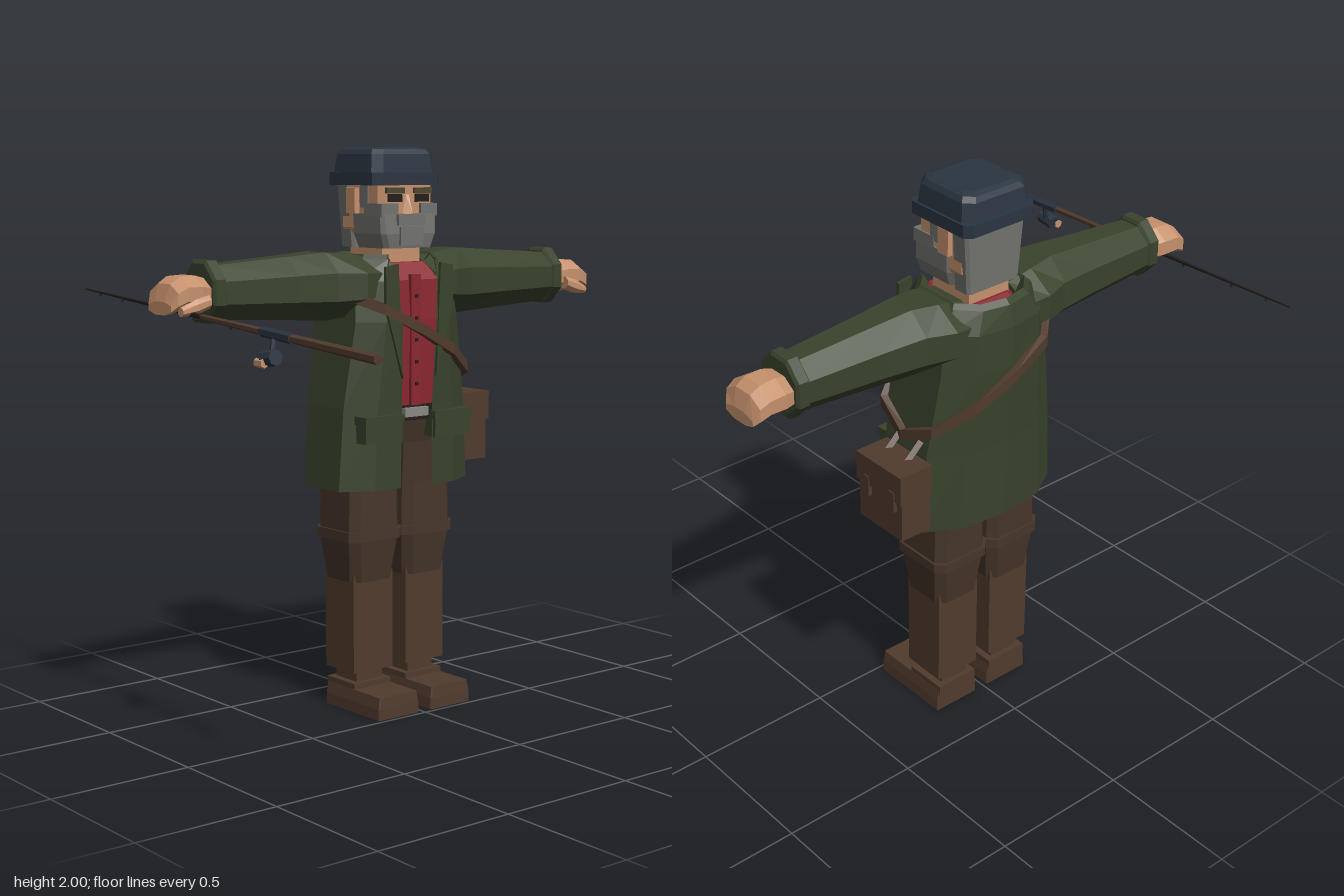
import * as THREE from 'three';

const paint = (name, color, side = THREE.FrontSide) =>
  Object.assign(new THREE.MeshStandardMaterial({ color, side }), { name });
const V = (x, y, z) => new THREE.Vector3(x, y, z);
const CZ = -0.245; // depth of the body axis

export function createModel() {
  const M = {
    coat: paint('coat green', 0x39432c, THREE.DoubleSide),
    shirt: paint('shirt red', 0x8a2630),
    trousers: paint('trouser brown', 0x47362a),
    leather: paint('leather brown', 0x513b2d),
    hat: paint('hat navy', 0x2a3541),
    skin: paint('skin', 0xc6916d),
    hair: paint('hair grey', 0x72736f),
    metal: paint('buckle grey', 0x8b8983),
    dark: paint('dark', 0x241d19),
    brow: paint('brow olive', 0x4d4630),
  };
  const model = new THREE.Group();
  model.name = 'fisherman';
  const body = new THREE.Group();
  body.name = 'body';
  body.position.x = 0.01;
  model.add(body);

  const add = (name, geo, mat, parent = body) => {
    const g = geo.index ? geo.toNonIndexed() : geo;
    g.computeVertexNormals(); // flat facets
    const mesh = new THREE.Mesh(g, mat);
    mesh.name = name;
    parent.add(mesh);
    return mesh;
  };
  const box = (name, mat, x0, x1, y0, y1, z0, z1) =>
    add(name, new THREE.BoxGeometry(x1 - x0, y1 - y0, z1 - z0)
      .translate((x0 + x1) / 2, (y0 + y1) / 2, (z0 + z1) / 2), mat);

  // Skins equal-length rings; closed rings get end caps and are turned outwards
  const loft = (name, mat, rings, closed = true) => {
    const tris = [], n = rings[0].length;
    for (let i = 0; i < rings.length - 1; i++)
      for (let j = 0; j < (closed ? n : n - 1); j++) {
        const k = (j + 1) % n, [r, s] = [rings[i], rings[i + 1]];
        tris.push([r[j], r[k], s[k]], [r[j], s[k], s[j]]);
      }
    if (closed) {
      const a = rings[0], b = rings[rings.length - 1];
      for (let j = 1; j < n - 1; j++)
        tris.push([a[0], a[j + 1], a[j]], [b[0], b[j], b[j + 1]]);
    }
    const c = rings[0][0];
    const vol = tris.reduce((t, [p, q, r]) =>
      t + p.clone().sub(c).dot(q.clone().sub(c).cross(r.clone().sub(c))), 0);
    if (vol < 0) tris.forEach((t) => t.reverse());
    return add(name, new THREE.BufferGeometry().setFromPoints(tris.flat()), mat);
  };
  // Chamfered rectangle at height y
  const rect = (y, cx, hx, zf, zb, c = 0.03) => [
    [hx, zf - c], [hx - c, zf], [c - hx, zf], [-hx, zf - c],
    [-hx, zb + c], [c - hx, zb], [hx - c, zb], [hx, zb + c]].map(([x, z]) => V(cx + x, y, z));
  // Octagon facing sideways
  const oct = (x, cy, ry, rz, cz = CZ) => Array.from({ length: 8 }, (_, i) => {
    const a = (i + 0.5) * Math.PI / 4;
    return V(x, cy + Math.sin(a) * ry * 1.08, cz + Math.cos(a) * rz * 1.08);
  });
  const rodPart = (name, mat, a, b, ra, rb, sides = 6) => {
    const g = new THREE.CylinderGeometry(rb, ra, a.distanceTo(b), sides);
    g.applyQuaternion(new THREE.Quaternion().setFromUnitVectors(V(0, 1, 0), b.clone().sub(a).normalize()));
    return add(name, g.translate(...a.clone().lerp(b, 0.5).toArray()), mat);
  };

  // Open coat: height, half width, front, back, half opening
  const coatRings = [
    [0.81, 0.29, -0.065, -0.425, 0.07], [1.1, 0.272, -0.06, -0.43, 0.068],
    [1.4, 0.228, -0.045, -0.45, 0.075], [1.54, 0.215, -0.06, -0.45, 0.092],
    [1.615, 0.165, -0.085, -0.435, 0.1],
  ].map(([y, w, f, b, o]) => {
    const half = [[o, f], [0.62 * w, f - 0.007], [w, f - 0.07], [w, b + 0.09], [0.6 * w, b + 0.02]];
    return [...half, [0, b], ...half.map(([x, z]) => [-x, z]).reverse()].map(([x, z]) => V(x, y, z));
  });
  loft('coat', M.coat, coatRings, false);
  // Collar standing around the neck opening
  loft('collar', M.coat, [[1.605, 1], [1.63, 0.88], [1.59, 0.72]].map(([y, s]) =>
    coatRings[4].map((p) => V(p.x * (s + 0.04), y, CZ + (p.z - CZ) * s))), false);

  for (const s of [-1, 1]) {
    const side = s > 0 ? 'left' : 'right';
    const sx = (name, mat, x0, x1, ...r) =>
      box(side + name, mat, Math.min(s * x0, s * x1), Math.max(s * x0, s * x1), ...r);

    // Lapel and pocket
    const lapel = new THREE.Shape([[0.095, 1.6], [0.15, 1.59], [0.15, 1.45], [0.075, 1.2]]
      .map(([x, y]) => new THREE.Vector2(s * x, y)));
    add(side + 'Lapel', new THREE.ExtrudeGeometry(lapel, { depth: 0.012, bevelEnabled: false })
      .translate(0, 0, -0.055), M.coat);
    sx('Pocket', M.coat, 0.075, 0.235, 0.98, 1.07, -0.12, -0.05);
    sx('PocketFlap', M.coat, 0.07, 0.24, 1.045, 1.075, -0.12, -0.045);

    // Sleeve, cuff and hand
    loft(side + 'Sleeve', M.coat, [[0.1, 1.53, 0.085, 0.16], [0.2, 1.525, 0.108, 0.165],
      [0.3, 1.523, 0.118, 0.13], [0.45, 1.522, 0.108, 0.113], [0.75, 1.52, 0.09, 0.09]]
      .map(([x, ...r]) => oct(s * x, ...r)));
    loft(side + 'Cuff', M.coat, [[0.73, 0.093], [0.738, 0.104], [0.775, 0.104], [0.783, 0.093]]
      .map(([x, r]) => oct(s * x, 1.523, r, r - 0.006)));
    loft(side + 'Hand', M.skin, [[0.77, 1.515, 0.052, 0.075], [0.82, 1.52, 0.06, 0.09],
      [0.88, 1.522, 0.055, 0.094], [0.915, 1.505, 0.05, 0.088], [0.933, 1.475, 0.022, 0.07]]
      .map(([x, ...r]) => oct(s * x, ...r)));
    loft(side + 'Thumb', M.skin, [[0.8, 1.495, 0.022, 0.025], [0.85, 1.48, 0.026, 0.024],
      [0.905, 1.465, 0.014, 0.016]].map(([x, ...r]) => oct(s * x, ...r, -0.162)));

    // Trouser leg with knee band
    const c = s * 0.118;
    loft(side + 'TrouserLeg', M.trousers, [rect(1.02, c, 0.104, -0.12, -0.37),
      rect(0.81, c, 0.107, -0.13, -0.36), rect(0.62, c, 0.11, -0.13, -0.36),
      rect(0.47, c, 0.092, -0.152, -0.342)]);
    loft(side + 'KneeBand', M.trousers, [rect(0.62, c, 0.118, -0.123, -0.367),
      rect(0.655, c, 0.118, -0.123, -0.367)]);

    // Boot
    sx('BootShaft', M.leather, 0.03, 0.206, 0.14, 0.5, -0.33, -0.165);
    sx('BootAnkle', M.leather, 0.06, 0.175, 0.08, 0.14, -0.31, -0.19);
    loft(side + 'BootFoot', M.leather, [rect(0, c, 0.092, -0.015, -0.33, 0.005),
      rect(0.04, c, 0.09, -0.015, -0.33, 0.005), rect(0.08, c, 0.083, -0.018, -0.33, 0.005)]);
    sx('BootHeel', M.leather, 0.035, 0.2, 0.06, 0.1, -0.33, -0.17);

    // Face details
    sx('Eye', M.dark, 0.03, 0.09, 1.81, 1.838, -0.112, -0.104);
    sx('Brow', M.brow, 0.022, 0.1, 1.84, 1.86, -0.112, -0.1);
    sx('Sideburn', M.hair, 0.1, 0.123, 1.79, 1.875, -0.225, -0.18);
    sx('Ear', M.skin, 0.1, 0.138, 1.77, 1.86, -0.285, -0.235);
  }

  // Shirt with placket and buttons
  loft('shirt', M.shirt, [rect(1.08, 0, 0.18, -0.08, -0.37, 0.04),
    rect(1.4, 0, 0.18, -0.07, -0.37, 0.04), rect(1.54, 0, 0.16, -0.078, -0.37, 0.04),
    rect(1.6, 0, 0.1, -0.115, -0.34)]);
  box('shirtPlacket', M.shirt, -0.022, 0.022, 1.1, 1.56, -0.08, -0.064);
  for (let i = 0; i < 5; i++)
    box('shirtButton', M.dark, -0.006, 0.006, 1.17 + i * 0.077, 1.182 + i * 0.077, -0.068, -0.06);

  // Hips, belt and buckle
  loft('hips', M.trousers, [rect(0.96, 0, 0.19, -0.12, -0.37, 0.04),
    rect(1.08, 0, 0.18, -0.09, -0.37, 0.04)]);
  box('belt', M.dark, -0.15, 0.15, 1.045, 1.1, -0.36, -0.078);
  box('buckle', M.metal, -0.053, 0.053, 1.06, 1.092, -0.082, -0.06);

  // Head, nose, beard and hair
  box('neck', M.skin, -0.085, 0.085, 1.52, 1.68, -0.33, -0.15);
  loft('head', M.skin, [rect(1.66, 0, 0.09, -0.13, -0.33, 0.02),
    rect(1.72, 0, 0.118, -0.11, -0.35, 0.02), rect(1.9, 0, 0.118, -0.11, -0.35, 0.02)]);
  loft('nose', M.skin, [[V(-0.028, 1.765, -0.105), V(0.028, 1.765, -0.105), V(0, 1.77, -0.082)],
    [V(-0.01, 1.835, -0.11), V(0.01, 1.835, -0.11), V(0, 1.835, -0.105)]]);
  loft('beard', M.hair, [rect(1.65, 0, 0.105, -0.1, -0.27, 0.015),
    rect(1.7, 0, 0.122, -0.093, -0.275, 0.015), rect(1.77, 0, 0.124, -0.1, -0.275, 0.012)]);
  for (const s of [-1, 1])
    box('beardCheek', M.hair, s > 0 ? 0.05 : -0.125, s > 0 ? 0.125 : -0.05, 1.76, 1.805, -0.2, -0.1);
  box('moustache', M.hair, -0.06, 0.06, 1.73, 1.768, -0.12, -0.085);
  box('chinBeard', M.hair, -0.05, 0.05, 1.66, 1.725, -0.12, -0.086);
  loft('hair', M.hair, [rect(1.65, 0, 0.11, -0.28, -0.355, 0.01),
    rect(1.88, 0, 0.127, -0.285, -0.36, 0.01)]);

  // Hat: turned-up brim and crown
  loft('hatBrim', M.hat, [rect(1.868, 0, 0.148, -0.1, -0.39, 0.022),
    rect(1.912, 0, 0.148, -0.1, -0.39, 0.022)]);
  loft('hatCrown', M.hat, [rect(1.91, 0, 0.14, -0.108, -0.382), rect(1.975, 0, 0.132, -0.116, -0.374),
    rect(1.992, 0, 0.122, -0.126, -0.364), rect(2, 0, 0.105, -0.145, -0.345)]);

  // Shoulder strap wrapped diagonally around the coat
  const path = [[-0.235, 1.49, -0.13], [-0.15, 1.445, -0.046], [0, 1.37, -0.034], [0.15, 1.29, -0.05],
    [0.262, 1.215, -0.11], [0.285, 1.15, -0.235], [0.265, 1.205, -0.365], [0.15, 1.29, -0.445],
    [0, 1.37, -0.462], [-0.14, 1.44, -0.447], [-0.235, 1.49, -0.36], [-0.235, 1.5, -0.245]];
  path.push(path[0]);
  loft('strap', M.leather, path.map(([x, y, z]) => {
    const out = V(x, 0, z - CZ).normalize().multiplyScalar(0.012);
    return [[-1, -1], [1, -1], [1, 1], [-1, 1]].map(([o, u]) =>
      V(x, y + u * 0.019, z).addScaledVector(out, o));
  }));

  // Hip bag
  box('bag', M.leather, 0.298, 0.418, 0.86, 1.105, -0.39, -0.17);
  box('bagFlap', M.leather, 0.295, 0.428, 1.005, 1.11, -0.395, -0.165);
  for (const z of [-0.22, -0.35]) box('bagTab', M.leather, 0.41, 0.432, 0.965, 1.04, z - 0.013, z + 0.013);
  for (const z of [-0.215, -0.315])
    rodPart('bagHanger', M.leather, V(0.275, 1.155, z), V(0.335, 1.1, z), 0.014, 0.014, 4);

  // Fishing rod held in the right hand
  const A = V(-0.912, 1.395, 0.885), B = V(-0.84, 1.502, -0.885);
  const at = (t) => A.clone().lerp(B, t);
  rodPart('rodGrip', M.leather, at(0), at(0.28), 0.017, 0.014);
  rodPart('reelSeat', M.hat, at(0.25), at(0.345), 0.018, 0.017);
  rodPart('rodFore', M.leather, at(0.34), at(0.55), 0.013, 0.009);
  rodPart('rodTip', M.dark, at(0.55), at(1), 0.009, 0.003);
  for (const t of [0.45, 0.58, 0.72, 0.85, 0.94]) {
    const p = at(t);
    rodPart('lineGuide', M.dark, p, p.clone().add(V(0, -0.024 + t * 0.012, 0)), 0.006, 0.006, 4);
  }
  // Reel with spool, crank and knob
  const r = at(0.305);
  rodPart('reelStem', M.hat, r, V(r.x - 0.012, 1.365, 0.35), 0.011, 0.011);
  rodPart('reelSpool', M.hat, V(-0.915, 1.362, 0.385), V(-0.915, 1.352, 0.32), 0.026, 0.026, 8);
  rodPart('reelCrank', M.dark, V(-0.9, 1.357, 0.345), V(-0.945, 1.35, 0.345), 0.007, 0.007);
  rodPart('reelKnob', M.skin, V(-0.935, 1.343, 0.355), V(-0.935, 1.343, 0.315), 0.016, 0.016);
  return model;
}
